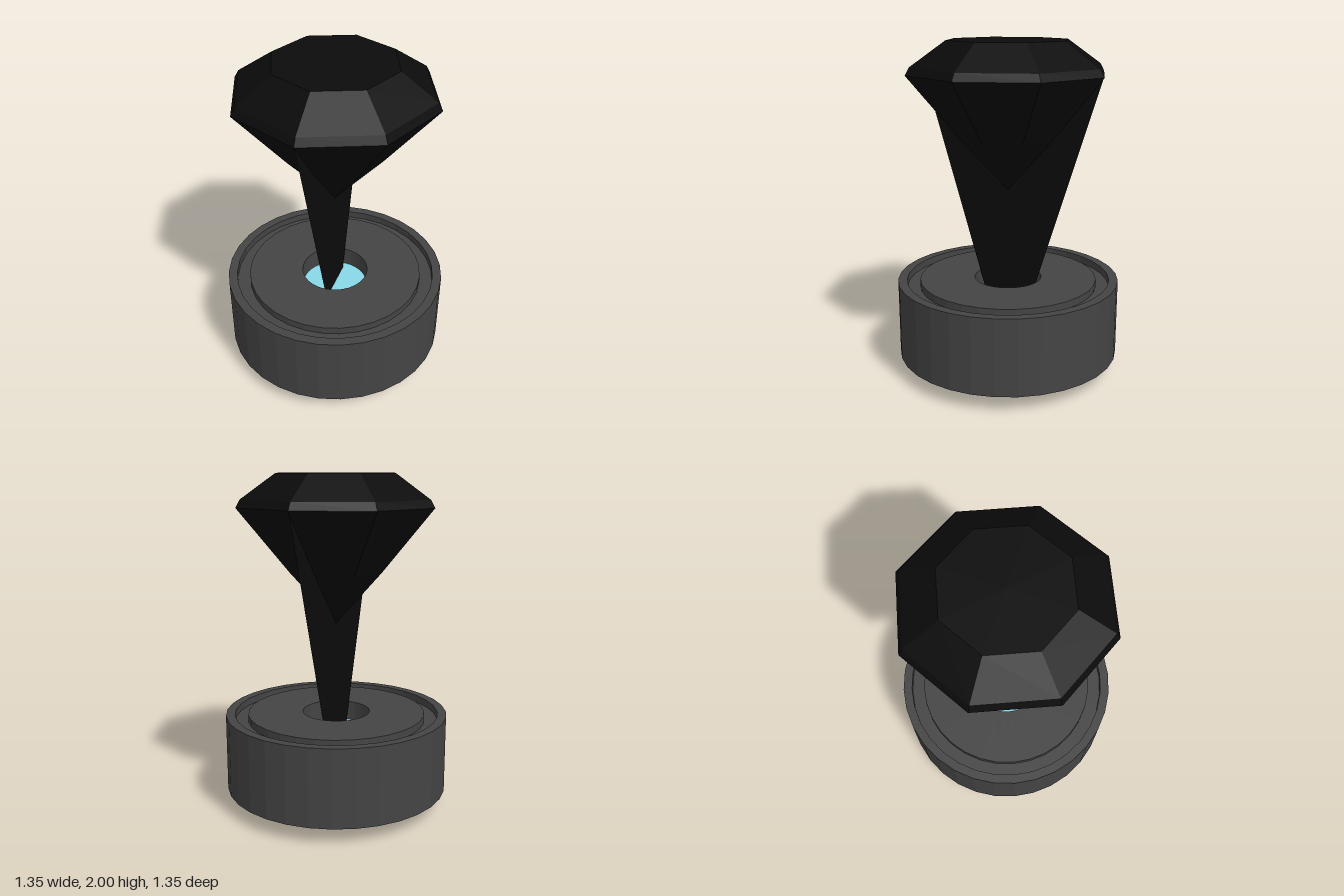
import * as THREE from 'three';

const material = (color, extra = {}) =>
  new THREE.MeshStandardMaterial({ color, flatShading: true, ...extra });

// Revolve a [radius, y] profile listed from the bottom, round the outside, to the top centre
function turned(name, profile, sides, mat) {
  const points = profile.map(([r, y]) => new THREE.Vector2(r, y));
  const mesh = new THREE.Mesh(new THREE.LatheGeometry(points, sides), mat);
  mesh.name = name;
  return mesh;
}

export function createModel() {
  const group = new THREE.Group();
  group.name = 'gemProjector';
  const black = material(0x0b0b0b);

  // Round pedestal with a shallow ring groove and a central well
  group.add(turned('pedestal', [
    [0, 0.1], [0.675, 0.1], [0.675, 0.565], [0.62, 0.565], [0.62, 0.52],
    [0.54, 0.52], [0.54, 0.565], [0.205, 0.565], [0.205, 0.44], [0, 0.44],
  ], 32, material(0x444444)));

  // Pale blue lens at the bottom of the well
  const lens = new THREE.Mesh(new THREE.CircleGeometry(0.204, 32), material(0x88d8e8));
  lens.name = 'lens';
  lens.rotation.x = -Math.PI / 2;
  lens.position.y = 0.446;
  group.add(lens);

  // Eight-sided cut gem: pavilion, girdle, crown and table
  group.add(turned('gem', [
    [0, 1.115], [0.29, 1.435], [0.6, 1.81], [0.575, 1.855], [0.365, 2], [0, 2],
  ], 8, black));

  // Flat tapering beam from the gem's girdle down through the pedestal
  const outline = new THREE.Shape([
    [-0.015, 0], [0.015, 0], [0.595, 1.81], [-0.595, 1.81],
  ].map(([z, y]) => new THREE.Vector2(z, y)));
  const beam = new THREE.Mesh(
    new THREE.ShapeGeometry(outline),
    material(0x0b0b0b, { side: THREE.DoubleSide }));
  beam.name = 'beam';
  beam.rotation.y = Math.PI / 2;
  group.add(beam);

  return group;
}
